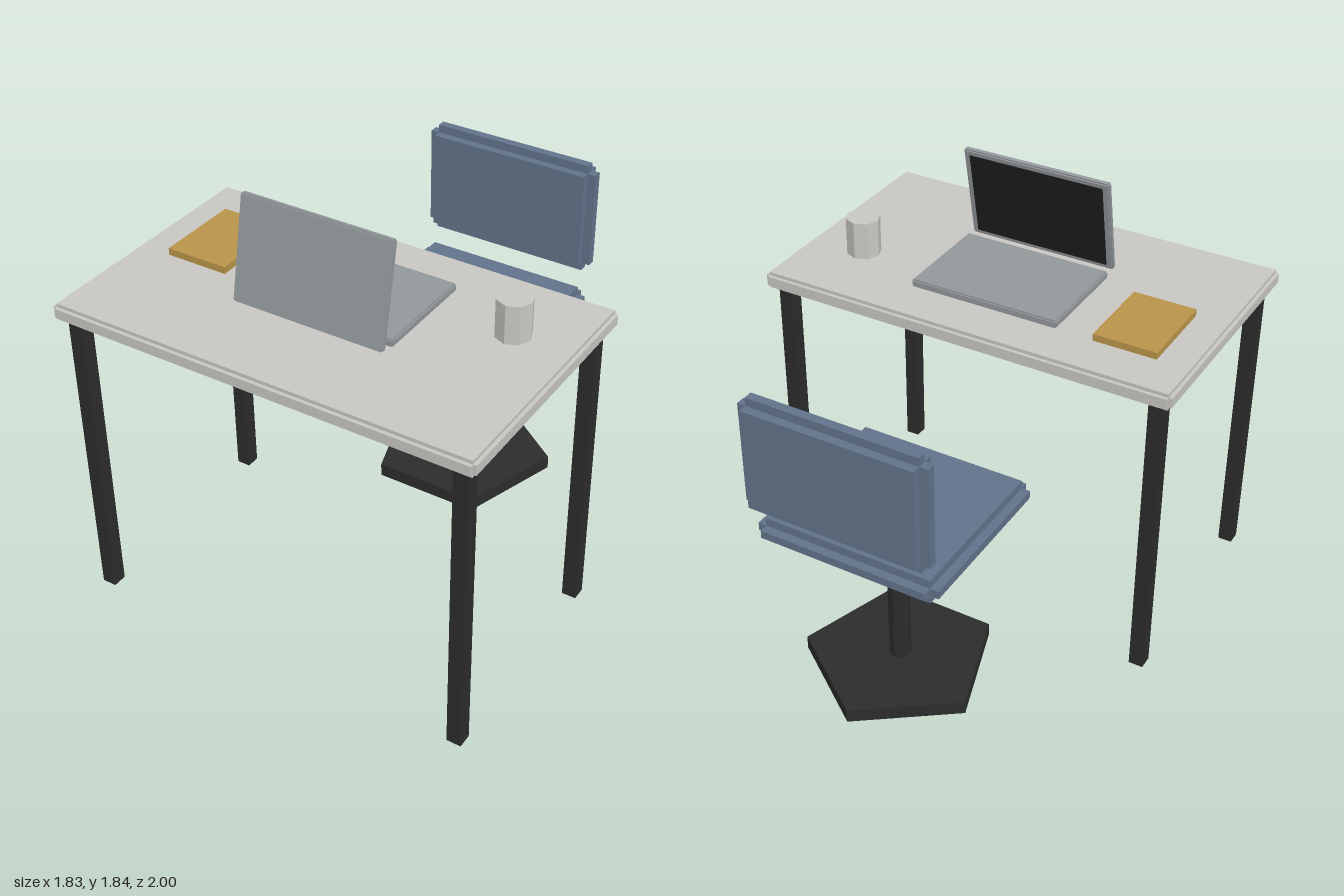
import * as THREE from 'three';

const mat = (name, color, flat = false) => {
  const m = new THREE.MeshStandardMaterial({ color, flatShading: flat });
  m.name = name;
  return m;
};

export function createModel() {
  const root = new THREE.Group();
  root.name = 'deskSet';

  const stone = mat('pale stone', 0xc9c7c2, true);
  const dark = mat('dark metal', 0x2c2c2c, true);
  const blue = mat('slate blue', 0x61738a);
  const grey = mat('laptop grey', 0x92989b);
  const black = mat('screen black', 0x1d1d1d);
  const gold = mat('notebook gold', 0xb9954a);

  const add = (parent, name, geometry, material, x, y, z) => {
    const mesh = new THREE.Mesh(geometry, material);
    mesh.name = name;
    mesh.position.set(x, y, z);
    parent.add(mesh);
    return mesh;
  };
  const box = (parent, name, material, w, h, d, x, y, z) =>
    add(parent, name, new THREE.BoxGeometry(w, h, d), material, x, y, z);

  // Slab with stepped edges: one box per axis, each full length along its
  // own axis and inset by s along the other two.
  const steppedSlab = (name, material, size, s, x, y, z) => {
    const group = new THREE.Group();
    group.name = name;
    group.position.set(x, y, z);
    for (let axis = 0; axis < 3; axis++) {
      const [w, h, d] = size.map((v, i) => (i === axis ? v : v - 2 * s));
      box(group, name + 'Layer' + axis, material, w, h, d, 0, 0, 0);
    }
    root.add(group);
    return group;
  };

  // Desk
  steppedSlab('deskTop', stone, [1.83, 0.072, 1.096], 0.015, 0, 1.362, 0.452);
  for (const x of [-0.843, 0.843]) {
    for (const z of [-0.025, 0.93]) {
      box(root, 'deskLeg', dark, 0.062, 1.326, 0.062, x, 0.663, z);
    }
  }

  // Laptop: keyboard half, tilted lid and thin display on the chair side
  steppedSlab('laptopBase', grey, [0.66, 0.034, 0.46], 0.006, 0, 1.415, 0.342);
  const lid = steppedSlab('laptopLid', grey, [0.66, 0.432, 0.028], 0.006, 0, 1.627, 0.588);
  lid.rotation.x = -0.2;
  box(lid, 'laptopScreen', black, 0.605, 0.385, 0.006, 0, 0, -0.0145);

  // Notebook and mug
  box(root, 'notebook', gold, 0.272, 0.03, 0.37, -0.626, 1.413, 0.297);
  add(root, 'mug', new THREE.CylinderGeometry(0.073, 0.073, 0.164, 8), stone, 0.657, 1.48, 0.262);

  // Chair
  const chairZ = -0.557;
  steppedSlab('chairSeat', blue, [0.806, 0.108, 0.77], 0.0365, 0, 0.828, chairZ);
  steppedSlab('chairBack', blue, [0.806, 0.512, 0.111], 0.0365, 0, 1.215, -0.944);
  add(root, 'chairColumn', new THREE.CylinderGeometry(0.046, 0.046, 0.675, 8), dark, 0, 0.4175, chairZ);
  const base = add(root, 'chairBase', new THREE.CylinderGeometry(0.403, 0.403, 0.06, 5), dark, 0, 0.058, chairZ);
  base.rotation.y = Math.PI; // point of the pentagon faces back

  return root;
}
